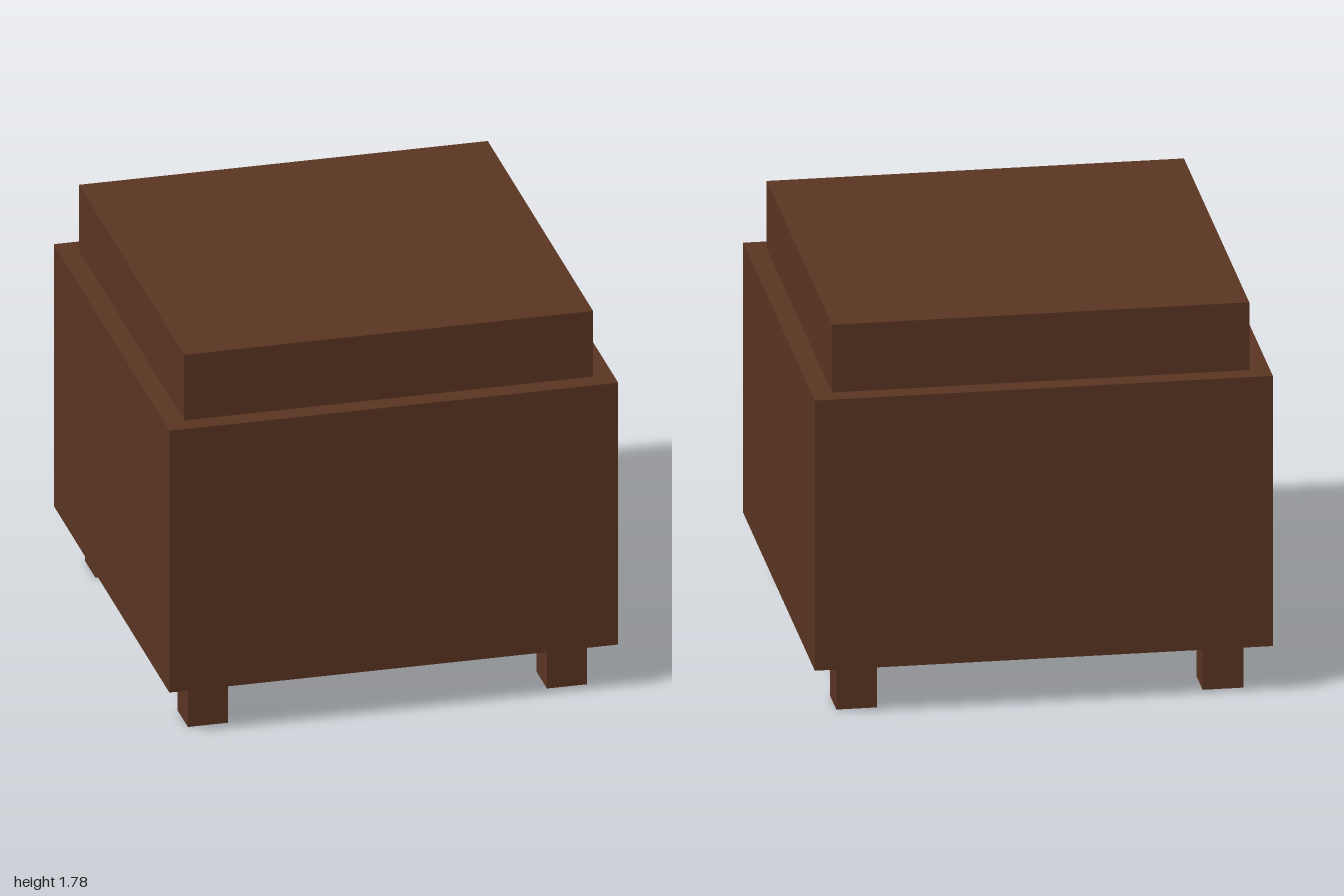
import * as THREE from 'three';

export function createModel() {
  const model = new THREE.Group();
  const leather = new THREE.MeshStandardMaterial({ color: 0x5c3623 });
  leather.name = 'brown leather';

  // Box standing on height y0 and reaching y1
  const addBox = (name, width, y0, y1, x = 0, z = 0) => {
    const mesh = new THREE.Mesh(new THREE.BoxGeometry(width, y1 - y0, width), leather);
    mesh.position.set(x, (y0 + y1) / 2, z);
    mesh.name = name;
    model.add(mesh);
  };

  addBox('body', 2, 0.225, 1.467);
  addBox('cushion', 1.822, 1.467, 1.778);

  // Four square legs, set in from the corners
  for (const [sx, side] of [[1, 'Left'], [-1, 'Right']]) {
    for (const [sz, end] of [[1, 'front'], [-1, 'back']]) {
      addBox(`${end}${side}Leg`, 0.178, 0, 0.225, sx * 0.8, sz * 0.8);
    }
  }
  return model;
}
